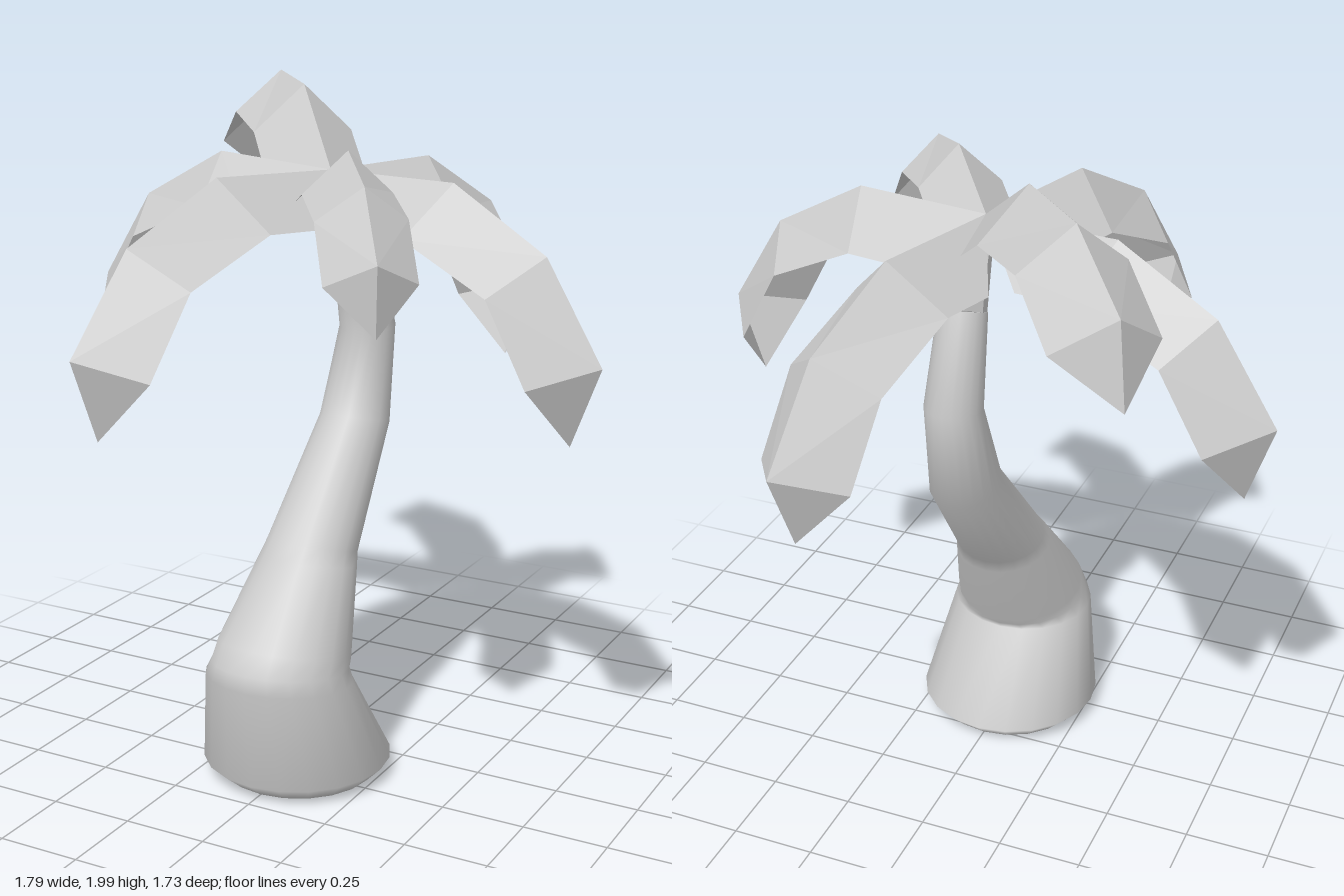
import * as THREE from 'three';

const SIDES = 20;
const APEX = new THREE.Vector3(0, 1.77, 0);

// Smooth skin over tilted rings: [front z, front y, back z, back y, half width, centre x]
function loft(rings, sides) {
  const pos = [], idx = [];
  for (const [zf, yf, zb, yb, rx, cx = 0] of rings) {
    for (let i = 0; i < sides; i++) {
      const a = (i / sides) * Math.PI * 2, c = Math.cos(a) / 2;
      pos.push(cx + rx * Math.sin(a), (yf + yb) / 2 + (yf - yb) * c, (zf + zb) / 2 + (zf - zb) * c);
    }
  }
  for (let j = 0; j < rings.length - 1; j++) {
    for (let i = 0; i < sides; i++) {
      const a = j * sides + i, b = j * sides + (i + 1) % sides;
      idx.push(a, b, b + sides, a, b + sides, a + sides);
    }
  }
  const g = new THREE.BufferGeometry();
  g.setAttribute('position', new THREE.Float32BufferAttribute(pos, 3));
  g.setIndex(idx);
  g.computeVertexNormals();
  return g;
}

// Roof-shaped frond along +x, folded down from its ridge and closing to a curled tip
function frondGeometry() {
  const ridge = [[0, 0], [0.42, 0], [0.72, -0.17], [0.9, -0.45], [0.81, -0.68]];
  const edge = [[0.19, -0.14], [0.36, -0.14], [0.63, -0.27], [0.76, -0.5]];
  const W = 0.16, pos = [];
  for (const s of [1, -1]) {
    const R = ridge.map(([x, y]) => [x, y, 0]);
    const E = edge.map(([x, y]) => [x, y, s * W]);
    const tri = (a, b, c) => pos.push(...(s > 0 ? [a, b, c] : [a, c, b]).flat());
    tri(R[0], E[0], R[1]);
    for (let i = 0; i < 3; i++) {
      tri(E[i], E[i + 1], R[i + 1]);
      tri(R[i + 1], E[i + 1], R[i + 2]);
    }
    tri(R[3], E[3], R[4]);
  }
  const g = new THREE.BufferGeometry();
  g.setAttribute('position', new THREE.Float32BufferAttribute(pos, 3));
  g.computeVertexNormals();
  return g;
}

export function createModel() {
  const model = new THREE.Group();
  model.name = 'palmTree';
  const bark = new THREE.MeshStandardMaterial({ color: 0xcccccc, side: THREE.DoubleSide });
  const leaf = new THREE.MeshStandardMaterial({ color: 0xcccccc, side: THREE.DoubleSide, flatShading: true });

  // Bent, tapering trunk
  const trunk = new THREE.Mesh(loft([
    [0.43, 0, -0.02, 0, 0.23],
    [0.49, 0.05, -0.07, 0.05, 0.28],
    [0.515, 0.35, 0.12, 0.32, 0.222],
    [0.51, 0.4, 0.11, 0.34, 0.203],
    [0.47, 0.46, 0.1, 0.36, 0.2],
    [0.28, 0.67, 0, 0.6, 0.147],
    [0.24, 0.71, -0.01, 0.64, 0.138],
    [-0.045, 1.03, -0.265, 0.97, 0.105],
    [-0.14, 1.27, -0.31, 1.28, 0.085, 0.005],
    [-0.06, 1.51, -0.2, 1.56, 0.07, 0.015],
  ], SIDES), bark);
  trunk.name = 'trunk';
  model.add(trunk);

  // Flat underside of the trunk
  const base = new THREE.Mesh(new THREE.CircleGeometry(1, SIDES), bark);
  base.name = 'trunkBase';
  base.scale.set(0.23, 0.225, 1);
  base.rotation.x = Math.PI / 2;
  base.position.z = 0.205;
  model.add(base);

  // Small collar joining the trunk to the fronds
  const collar = new THREE.Mesh(loft([
    [-0.07, 1.52, -0.2, 1.56, 0.06, 0.02],
    [-0.05, 1.5, -0.215, 1.57, 0.08, 0.025],
    [-0.03, 1.6, -0.2, 1.64, 0.075, 0.02],
    [0.02, 1.72, -0.06, 1.74, 0.03, 0],
  ], 7), leaf);
  collar.name = 'collar';
  model.add(collar);

  // Fronds: [tip x, tip z, upward pitch in degrees, scale]
  const geo = frondGeometry();
  const fronds = new THREE.Group();
  fronds.name = 'fronds';
  [
    [0.25, -0.87, 0, 1],
    [0.89, 0.14, 0, 1],
    [0.45, 0.6, 17, 0.78],
    [-0.3, 0.86, 2.5, 1],
    [-0.9, -0.17, 2.5, 1],
    [-0.64, -0.71, 32, 0.94],
  ].forEach(([x, z, pitch, scale], i) => {
    const frond = new THREE.Mesh(geo, leaf);
    frond.name = 'frond' + (i + 1);
    frond.position.copy(APEX);
    frond.rotation.set(0, Math.atan2(-z, x), THREE.MathUtils.degToRad(pitch), 'YZX');
    frond.scale.setScalar(scale);
    fronds.add(frond);
  });
  model.add(fronds);
  return model;
}
